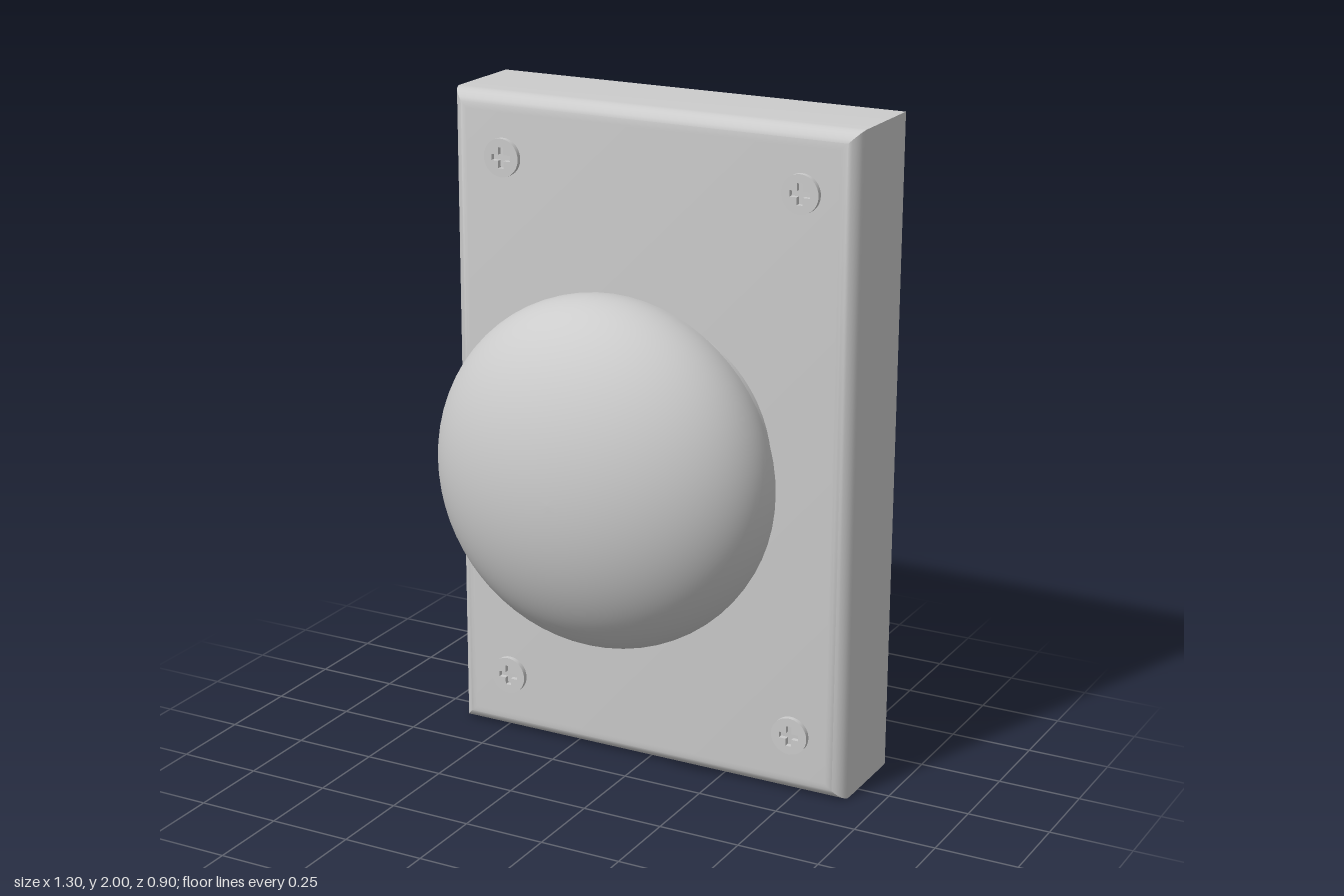
import * as THREE from 'three';
import { toCreasedNormals } from 'three/addons/utils/BufferGeometryUtils.js';

const BACK = -0.45, FACE = -0.13, DOME_BACK = 0.07, CENTRE_Y = 1;
const material = new THREE.MeshStandardMaterial({ color: 0xcccccc });

function addMesh(parent, name, geometry, x = 0, y = 0, z = 0) {
  const mesh = new THREE.Mesh(geometry, material);
  mesh.name = name;
  mesh.position.set(x, y, z);
  parent.add(mesh);
  return mesh;
}

// Rectangular block with mitred, rounded front edges, lofted from rectangles
function plateGeometry(halfW, halfH, radius, steps) {
  const rings = [[0, BACK]];
  for (let i = 0; i <= steps; i++) {
    const a = (i / steps) * Math.PI / 2;
    rings.push([radius * (1 - Math.cos(a)), FACE - radius * (1 - Math.sin(a))]);
  }
  const positions = [], index = [];
  for (const [inset, z] of rings) {
    const w = halfW - inset, h = halfH - inset;
    positions.push(-w, -h, z, w, -h, z, w, h, z, -w, h, z);
  }
  for (let r = 0; r < rings.length - 1; r++) {
    for (let k = 0; k < 4; k++) {
      const a = r * 4 + k, b = r * 4 + (k + 1) % 4;
      index.push(a, b, b + 4, a, b + 4, a + 4);
    }
  }
  const f = (rings.length - 1) * 4;
  index.push(0, 2, 1, 0, 3, 2, f, f + 1, f + 2, f, f + 2, f + 3);
  const geometry = new THREE.BufferGeometry();
  geometry.setAttribute('position', new THREE.Float32BufferAttribute(positions, 3));
  geometry.setIndex(index);
  return toCreasedNormals(geometry, 0.6);
}

// Flat screw head with a cross-shaped recess
function screwGeometry(radius, height) {
  const head = new THREE.Shape().absarc(0, 0, radius, 0, Math.PI * 2, false);
  const l = 0.031, w = 0.009;
  const cross = [[l, -w], [l, w], [w, w], [w, l], [-w, l], [-w, w],
    [-l, w], [-l, -w], [-w, -w], [-w, -l], [w, -l], [w, -w]];
  head.holes.push(new THREE.Path(cross.reverse().map(([x, y]) => new THREE.Vector2(x, y))));
  const geometry = new THREE.ExtrudeGeometry(head, { depth: height, bevelEnabled: false, curveSegments: 24 });
  return toCreasedNormals(geometry, 0.6);
}

export function createModel() {
  const group = new THREE.Group();
  group.name = 'pushButton';

  addMesh(group, 'backPlate', plateGeometry(0.65, 1, 0.055, 8), 0, CENTRE_Y, 0);

  // Collar between plate and button
  const collar = new THREE.CylinderGeometry(0.405, 0.405, DOME_BACK - FACE, 64, 1, true);
  collar.rotateX(Math.PI / 2);
  addMesh(group, 'collar', collar, 0, CENTRE_Y, (DOME_BACK + FACE) / 2);

  // Button: flattened ellipsoid cut flat at the back
  const button = new THREE.Group();
  button.name = 'button';
  group.add(button);
  const rx = 0.52, rz = 0.33, midZ = 0.12;
  const start = Math.asin((DOME_BACK - midZ) / rz);
  const profile = [];
  for (let i = 0; i <= 32; i++) {
    const a = start + (Math.PI / 2 - start) * i / 32;
    profile.push(new THREE.Vector2(i === 32 ? 0 : rx * Math.cos(a), midZ + rz * Math.sin(a)));
  }
  const dome = new THREE.LatheGeometry(profile, 64);
  dome.rotateX(Math.PI / 2);
  addMesh(button, 'buttonDome', dome, 0, CENTRE_Y, 0);
  const underside = new THREE.CircleGeometry(rx * Math.cos(start), 64);
  underside.rotateY(Math.PI);
  addMesh(button, 'buttonUnderside', underside, 0, CENTRE_Y, DOME_BACK);

  // Corner screws
  const screw = screwGeometry(0.057, 0.015);
  for (const x of [-0.472, 0.483]) {
    for (const y of [0.188, 1.814]) addMesh(group, 'screw', screw, x, y, FACE);
  }
  return group;
}
